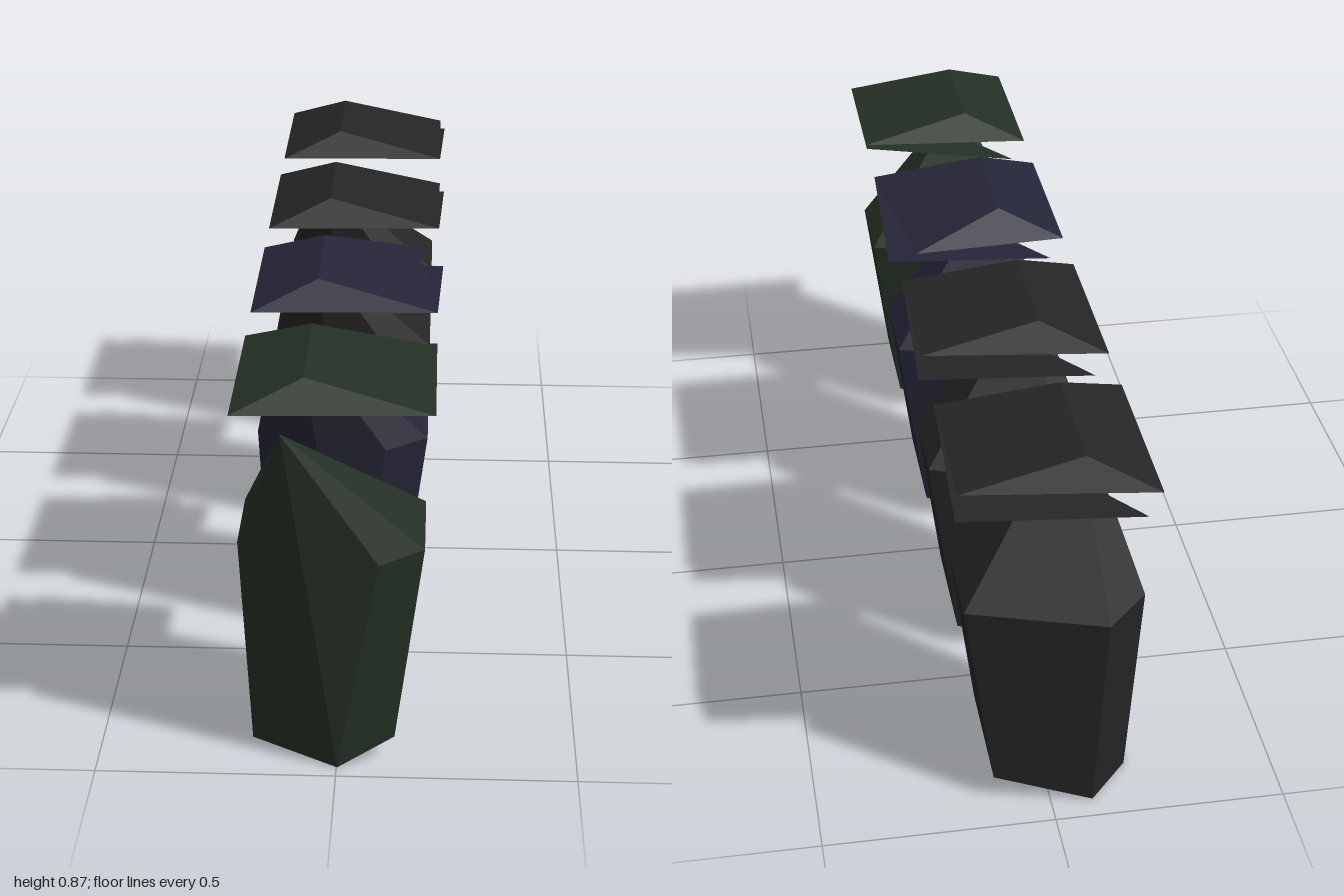
import * as THREE from 'three';

const paint = (name, color) => {
  const m = new THREE.MeshStandardMaterial({ color, flatShading: true, side: THREE.DoubleSide });
  m.name = name;
  return m;
};

// Flat-shaded mesh from named corners; each face is a fan, counter-clockwise from outside
function facets(name, corners, faces, material) {
  const pos = [];
  for (const face of faces) {
    const p = face.split(' ').map((k) => corners[k]);
    for (let i = 1; i < p.length - 1; i++) pos.push(...p[0], ...p[i], ...p[i + 1]);
  }
  const geo = new THREE.BufferGeometry();
  geo.setAttribute('position', new THREE.Float32BufferAttribute(pos, 3));
  geo.computeVertexNormals();
  const mesh = new THREE.Mesh(geo, material);
  mesh.name = name;
  return mesh;
}

// Body corners: peak, shoulder ring (s) and base ring (b)
const BODY = {
  peak: [-0.106, 0.778, 0.205],
  s0: [0.087, 0.485, 0.19], s1: [0.178, 0.485, 0.119], s2: [0.178, 0.485, -0.095],
  s3: [-0.11, 0.485, -0.185], s4: [-0.203, 0.485, -0.09], s5: [-0.203, 0.485, 0.1],
  b0: [0.002, 0, 0.178], b1: [0.12, 0.058, 0.146], b2: [0.12, 0.058, -0.127],
  b3: [-0.09, 0, -0.164], b4: [-0.18, 0, -0.063], b5: [-0.182, 0, 0.07],
};
const BODY_FACES = ['s5 b0 peak', 's5 b5 b0', 'peak b0 s0', 's0 b0 s1', 'b0 b1 s1', 'b5 b4 b3 b2 b1 b0'];
for (let i = 0; i < 5; i++) {
  BODY_FACES.push(`peak s${i} s${i + 1}`);
  if (i > 0) BODY_FACES.push(`b${i} b${i + 1} s${i + 1} s${i}`);
}

// Lid corners: rim, ridge and the two low corners of the hanging flap
const LID = {
  frontLeft: [-0.205, 0.815, 0.205], backLeft: [-0.205, 0.815, -0.193],
  frontRight: [0.196, 0.815, 0.19],
  ridgeFront: [-0.062, 0.872, 0.146], ridgeBack: [-0.062, 0.872, -0.127],
  flapLeft: [-0.172, 0.776, -0.215],
};
const LID_FACES = [
  'frontRight backRight ridgeBack ridgeFront',
  'backRight backLeft ridgeBack',
  'backLeft frontLeft ridgeFront ridgeBack',
  'frontLeft frontRight ridgeFront',
  'frontLeft backLeft backRight frontRight',
];

function makeBin(name, z, material, backRight, flapRight) {
  const bin = new THREE.Group();
  bin.name = name;
  bin.position.z = z;
  const lid = { ...LID, backRight, flapRight };
  bin.add(
    facets('body', BODY, BODY_FACES, material),
    facets('lid', lid, LID_FACES, material),
    facets('lidFlap', lid, ['frontRight flapRight flapLeft'], material),
  );
  return bin;
}

export function createModel() {
  const green = paint('dark green', 0x243025);
  const blue = paint('dark blue', 0x252538);
  const black = paint('charcoal', 0x252525);

  // Row of four bins, front to back
  const low = [0.207, 0.78, -0.18];
  const model = new THREE.Group();
  model.name = 'binRow';
  model.add(
    makeBin('greenBin', 0.79, green, [0.196, 0.815, -0.155], [0.196, 0.813, -0.172]),
    makeBin('blueBin', 0.265, blue, [0.147, 0.815, -0.215], low),
    makeBin('blackBin', -0.26, black, [0.196, 0.815, -0.14], low),
    makeBin('rearBlackBin', -0.785, black, [0.196, 0.815, -0.14], low),
  );
  return model;
}
